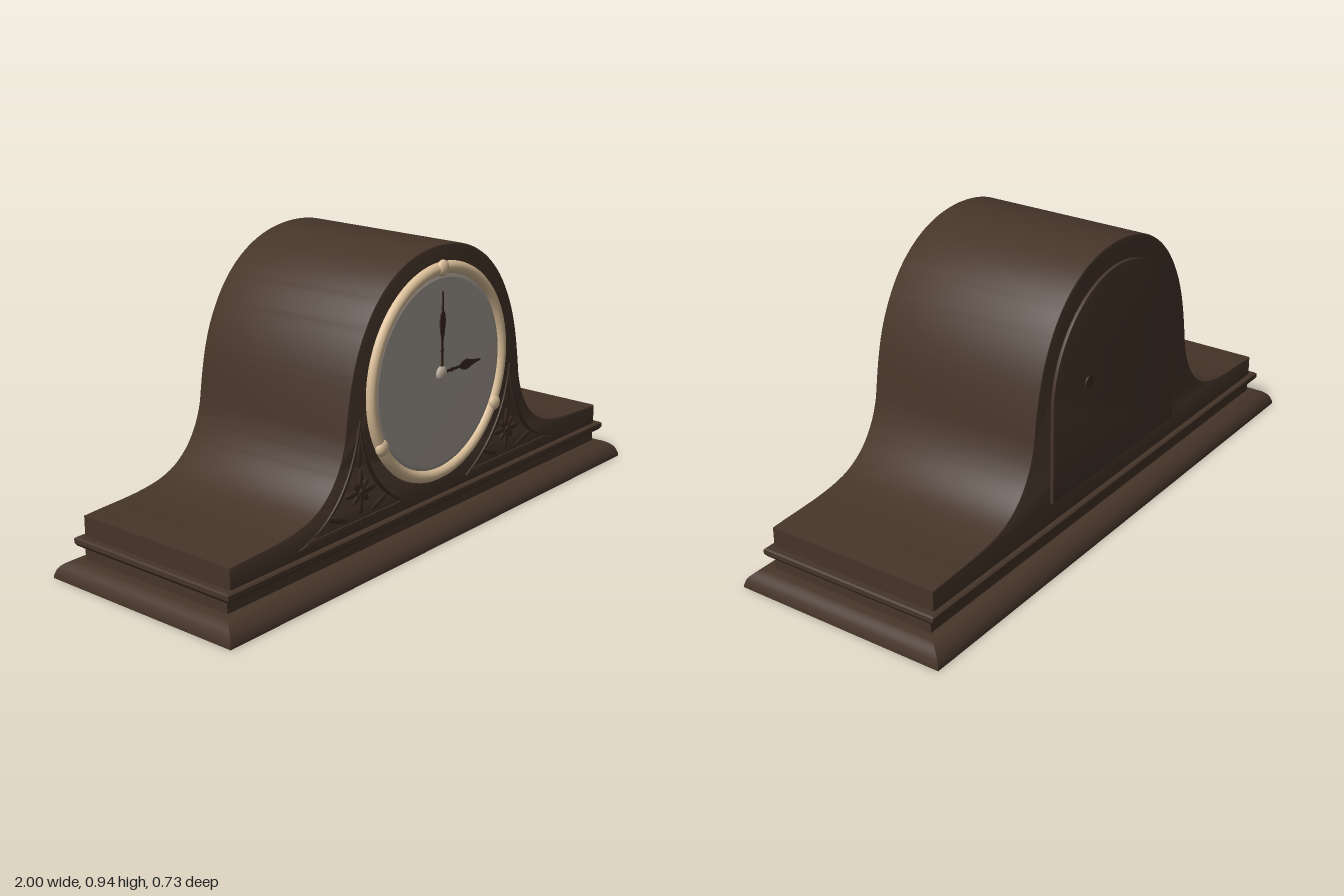
import * as THREE from 'three';
import { toCreasedNormals } from 'three/addons/utils/BufferGeometryUtils.js';

const DIAL_Y = 0.535;

function material(name, color) {
  const m = new THREE.MeshStandardMaterial({ color });
  m.name = name;
  return m;
}

// Stacked rectangles [halfX, halfZ, y] joined into a mitred moulding, capped both ends
function moulding(rings) {
  const pos = [];
  const corners = ([x, z, y]) => [[-x, y, z], [x, y, z], [x, y, -z], [-x, y, -z]];
  const quad = (a, b, c, d) => pos.push(...a, ...b, ...c, ...a, ...c, ...d);
  for (let i = 0; i < rings.length - 1; i++) {
    const lo = corners(rings[i]), hi = corners(rings[i + 1]);
    for (let k = 0; k < 4; k++) {
      const n = (k + 1) % 4;
      quad(lo[k], lo[n], hi[n], hi[k]);
    }
  }
  const b = corners(rings[0]), t = corners(rings[rings.length - 1]);
  quad(b[3], b[2], b[1], b[0]);
  quad(t[0], t[1], t[2], t[3]);
  const g = new THREE.BufferGeometry();
  g.setAttribute('position', new THREE.Float32BufferAttribute(pos, 3));
  g.computeVertexNormals();
  return toCreasedNormals(g, 0.5);
}

// Extrusion between two z planes with a small bevel kept inside the outline
function slab(shape, z0, z1, bevel = 0, curveSegments = 20) {
  const g = new THREE.ExtrudeGeometry(shape, {
    depth: z1 - z0 - 2 * bevel, curveSegments, bevelEnabled: bevel > 0,
    bevelSize: bevel, bevelThickness: bevel, bevelOffset: -bevel, bevelSegments: 2,
  });
  g.translate(0, 0, z0 + bevel);
  return toCreasedNormals(g, 0.5);
}

// Symmetric blade along +y from [distance, half width] pairs
function blade(stations) {
  const right = stations.map(([d, w]) => new THREE.Vector2(w, d));
  const left = stations.map(([d, w]) => new THREE.Vector2(-w, d)).reverse();
  return new THREE.Shape([...right, ...left]);
}

// Three-cornered panel with hollow sides, shrunk towards its centre by s
function spandrelPath(Type, s) {
  const cx = 0.385, cy = 0.25;
  const p = (x, y) => [cx + (x - cx) * s, cy + (y - cy) * s];
  const path = new Type();
  path.moveTo(...p(0.15, 0.155));
  path.lineTo(...p(0.65, 0.155));
  path.quadraticCurveTo(...p(0.43, 0.21), ...p(0.38, 0.48));
  path.quadraticCurveTo(...p(0.355, 0.262), ...p(0.15, 0.155));
  return path;
}

export function createModel() {
  const model = new THREE.Group();
  model.name = 'mantelClock';
  const wood = material('darkWood', 0x46352a);
  const carved = material('carvedWood', 0x3e2d23);
  const brass = material('paleBrass', 0xdcc09a);
  const glass = material('dialGlass', 0xa39b92);
  const handMetal = material('handMetal', 0x3a281f);
  const hubMetal = material('hubMetal', 0xb9ab9a);

  const add = (name, geometry, mat, parent = model) => {
    const mesh = new THREE.Mesh(geometry, mat);
    mesh.name = name;
    parent.add(mesh);
    return mesh;
  };

  // Stepped base: swept foot, neck and projecting bead
  const foot = [[1, 0.367, 0], [1, 0.367, 0.006]];
  for (let i = 1; i <= 8; i++) {
    const a = (i / 8) * Math.PI / 2;
    foot.push([0.942 + 0.056 * Math.cos(a), 0.295 + 0.07 * Math.cos(a), 0.006 + 0.054 * Math.sin(a)]);
  }
  add('foot', moulding(foot), wood);
  add('neck', moulding([[0.935, 0.293, 0.055], [0.935, 0.293, 0.1]]), wood);
  add('bead', moulding([
    [0.938, 0.3, 0.095], [0.949, 0.312, 0.103], [0.955, 0.318, 0.112],
    [0.955, 0.318, 0.126], [0.95, 0.313, 0.13],
  ]), wood);

  // Arched case with sweeping shoulders
  const body = new THREE.Shape();
  body.moveTo(-0.93, 0.12);
  body.lineTo(0.93, 0.12);
  body.lineTo(0.93, 0.196);
  body.bezierCurveTo(0.82, 0.204, 0.72, 0.2, 0.63, 0.222);
  body.bezierCurveTo(0.51, 0.25, 0.46, 0.35, 0.443, 0.43);
  body.bezierCurveTo(0.425, 0.56, 0.41, 0.64, 0.363, 0.725);
  body.bezierCurveTo(0.28, 0.88, 0.14, 0.938, 0, 0.938);
  body.bezierCurveTo(-0.14, 0.938, -0.28, 0.88, -0.363, 0.725);
  body.bezierCurveTo(-0.41, 0.64, -0.425, 0.56, -0.443, 0.43);
  body.bezierCurveTo(-0.46, 0.35, -0.51, 0.25, -0.63, 0.222);
  body.bezierCurveTo(-0.72, 0.2, -0.82, 0.204, -0.93, 0.196);
  add('case', slab(body, -0.3, 0.3, 0.005), wood);

  // Arched rear door and its small knob
  const door = new THREE.Shape();
  door.moveTo(-0.355, 0.2);
  door.lineTo(0.355, 0.2);
  door.lineTo(0.355, 0.51);
  door.absarc(0, 0.51, 0.355, 0, Math.PI, false);
  add('backDoor', slab(door, -0.31, -0.295, 0.002), wood);
  const knob = add('doorKnob', new THREE.CylinderGeometry(0.02, 0.02, 0.01, 20), carved);
  knob.rotation.x = Math.PI / 2;
  knob.position.set(0.167, 0.537, -0.31);

  // Carved corner panels with a raised border and a leafy flower
  for (const side of [1, -1]) {
    const panel = new THREE.Group();
    panel.name = side > 0 ? 'leftSpandrel' : 'rightSpandrel';
    const border = spandrelPath(THREE.Shape, 1);
    border.holes.push(spandrelPath(THREE.Path, 0.86));
    const borderMesh = add('spandrelBorder', slab(border, 0.296, 0.306, 0.002), carved, panel);
    for (let i = 0; i < 8; i++) {
      const a = (i / 8) * Math.PI * 2;
      const len = i % 2 ? 0.024 : 0.036;
      const petal = add('petal', new THREE.SphereGeometry(1, 10, 8), carved, panel);
      petal.scale.set(0.011, len, 0.005);
      petal.position.set(0.375 - Math.sin(a) * len, 0.255 + Math.cos(a) * len, 0.301);
      petal.rotation.z = a;
    }
    // Leaves reaching into the three corners
    for (const [x, y, turn, len] of [[0.379, 0.37, 0, 0.04], [0.48, 0.195, -1.25, 0.05], [0.285, 0.198, 1.2, 0.045]]) {
      const leaf = add('leaf', new THREE.SphereGeometry(1, 10, 8), carved, panel);
      leaf.scale.set(0.01, len, 0.004);
      leaf.position.set(x, y, 0.3);
      leaf.rotation.z = turn;
    }
    const eye = add('flowerCentre', new THREE.SphereGeometry(0.012, 12, 8), carved, panel);
    eye.scale.z = 0.6;
    eye.position.set(0.375, 0.255, 0.302);
    // Mirror by rotating half a turn and reflecting the symmetric pieces
    if (side < 0) {
      for (const m of panel.children) {
        if (m === borderMesh) continue;
        m.position.x *= -1;
        m.rotation.z *= -1;
      }
      const g = borderMesh.geometry;
      g.rotateY(Math.PI);
      g.translate(0, 0, 0.602);
    }
    model.add(panel);
  }

  // Dial: bezel ring, shallow glass with sloping rim, three clasps
  const dial = new THREE.Group();
  dial.name = 'dial';
  dial.position.set(0, DIAL_Y, 0);
  model.add(dial);
  add('bezel', new THREE.TorusGeometry(0.33, 0.02, 16, 72), brass, dial).position.z = 0.3;
  const pane = [[0.318, 0.302], [0.3, 0.307], [0, 0.308]].map((p) => new THREE.Vector2(...p));
  add('glass', toCreasedNormals(new THREE.LatheGeometry(pane, 72).rotateX(Math.PI / 2), 0.1), glass, dial);
  for (const deg of [90, 210, 330]) {
    const a = THREE.MathUtils.degToRad(deg);
    const clasp = add('bezelClasp', new THREE.SphereGeometry(0.026, 20, 14), brass, dial);
    clasp.scale.z = 0.6;
    clasp.position.set(Math.cos(a) * 0.332, Math.sin(a) * 0.332, 0.311);
  }

  // Hands and centre hub
  const minute = blade([
    [0, 0.004], [0.07, 0.004], [0.075, 0.008], [0.08, 0.004], [0.11, 0.004], [0.13, 0.009],
    [0.165, 0.014], [0.19, 0.01], [0.2, 0.004], [0.26, 0.002],
  ]);
  const hour = blade([
    [0, 0.004], [0.05, 0.004], [0.055, 0.008], [0.06, 0.004], [0.095, 0.004],
    [0.11, 0.013], [0.13, 0.017], [0.17, 0.007], [0.205, 0.002],
  ]);
  add('minuteHand', slab(minute, 0.312, 0.316), handMetal, dial);
  add('hourHand', slab(hour, 0.309, 0.313), handMetal, dial).rotation.z = -Math.PI / 2;
  const hub = add('handHub', new THREE.SphereGeometry(0.024, 20, 14), hubMetal, dial);
  hub.scale.z = 0.5;
  hub.position.z = 0.312;

  return model;
}
